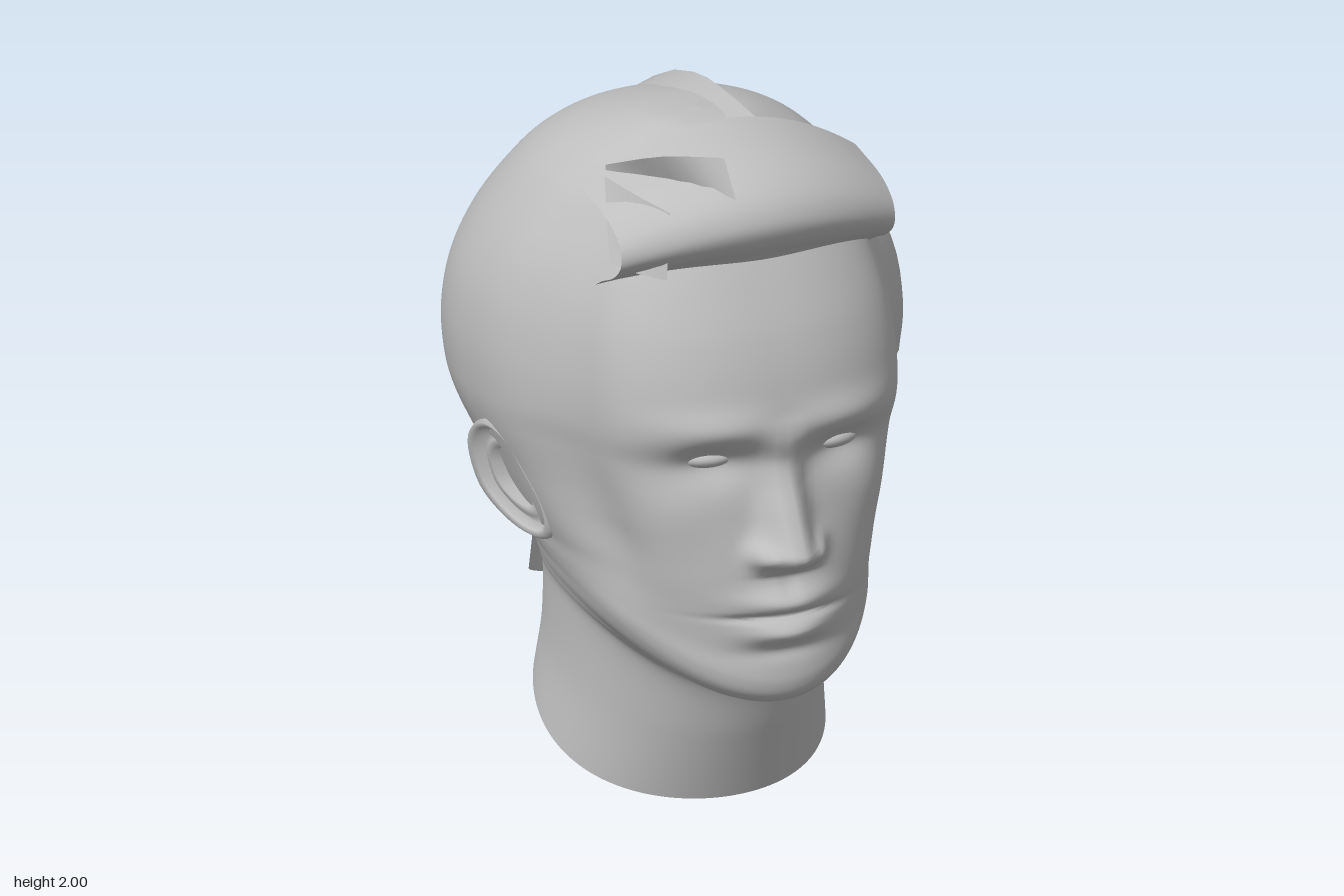
import * as THREE from 'three';

const clay = new THREE.MeshStandardMaterial({ color: 0xbebebe, side: THREE.DoubleSide });
clay.name = 'clay grey';

// Grid surface from a rule; wrap joins the last column to the first
function grid(name, fn, nu, nv, wrap = false) {
  const cols = wrap ? nu : nu + 1, pos = [], idx = [];
  for (let j = 0; j <= nv; j++)
    for (let i = 0; i < cols; i++) pos.push(...fn(i / nu, j / nv));
  for (let j = 0; j < nv; j++)
    for (let i = 0; i < nu; i++) {
      const k = (i + 1) % cols;
      const a = j * cols + i, b = j * cols + k, c = a + cols, d = b + cols;
      idx.push(a, c, b, b, c, d);
    }
  const g = new THREE.BufferGeometry();
  g.setAttribute('position', new THREE.Float32BufferAttribute(pos, 3));
  g.setIndex(idx);
  g.computeVertexNormals();
  const m = new THREE.Mesh(g, clay);
  m.name = name;
  return m;
}

const curve = (pts, closed = false) =>
  new THREE.CatmullRomCurve3(pts.map(p => new THREE.Vector3(...p)), closed, 'catmullrom', 0.5);

// Hair flap ruled between two edge curves
function flap(name, edgeA, edgeB, n = 12) {
  const a = curve(edgeA), b = curve(edgeB);
  return grid(name, (u, v) => a.getPoint(u).lerp(b.getPoint(u), v).toArray(), n, 2);
}

// Linear lookup in a list of [key, value] with rising keys
function look(list, k) {
  if (k <= list[0][0]) return list[0][1];
  for (let i = 1; i < list.length; i++)
    if (k <= list[i][0])
      return THREE.MathUtils.mapLinear(k, list[i - 1][0], list[i][0], list[i - 1][1], list[i][1]);
  return list[list.length - 1][1];
}

const smooth = THREE.MathUtils.smoothstep;
const bump = (x, y, cx, cy, sx, sy) => Math.exp(-(((x - cx) / sx) ** 2) - ((y - cy) / sy) ** 2);
const spow = (v, e) => Math.sign(v) * Math.abs(v) ** e;

// Facial relief: brow, sockets, cheeks, nose, lips, chin
const noseHeight = [[0.79, 0], [0.82, 0.055], [0.845, 0.115], [0.87, 0.135], [0.9, 0.125], [1, 0.088], [1.13, 0.035], [1.26, 0]];
const noseWidth = [[0.8, 0.08], [0.87, 0.07], [0.95, 0.058], [1.05, 0.05], [1.2, 0.06]];
function relief(px, y) {
  const x = Math.abs(px);
  let d = look(noseHeight, y) * Math.exp(-((x / look(noseWidth, y)) ** 2.3));
  d += 0.05 * bump(x, y, 0.085, 0.862, 0.03, 0.034);
  d += 0.026 * bump(x, y, 0.2, 1.23, 0.17, 0.055);
  d -= 0.04 * bump(x, y, 0.19, 1.125, 0.1, 0.06);
  d += 0.018 * bump(x, y, 0.32, 0.98, 0.12, 0.1);
  d += 0.048 * bump(x, y, 0, 0.715, 0.12, 0.038);
  d += 0.042 * bump(x, y, 0, 0.625, 0.11, 0.033);
  d -= 0.03 * bump(x, y, 0, 0.671, 0.15, 0.011);
  d -= 0.012 * bump(x, y, 0, 0.565, 0.12, 0.025);
  d -= 0.008 * bump(x, y, 0, 0.76, 0.015, 0.03);
  return d;
}

// Level skull rings: height, half width, front z, back z, z of widest point
const skullRings = [
  [1.98, 0, 0.08, 0.08, 0.08], [1.965, 0.15, 0.21, -0.11, 0.04], [1.9, 0.3, 0.34, -0.34, -0.04],
  [1.82, 0.405, 0.43, -0.48, -0.07], [1.72, 0.485, 0.49, -0.58, -0.09], [1.6, 0.557, 0.555, -0.67, -0.11],
  [1.47, 0.605, 0.615, -0.725, -0.14], [1.33, 0.624, 0.655, -0.76, -0.15], [1.2, 0.618, 0.665, -0.77, -0.14],
  [1.1, 0.597, 0.635, -0.743, -0.12], [0.97, 0.545, 0.65, -0.675, -0.07]];
// Tilted jaw and neck rings: the same, then side height and back height
const jawRings = [
  [0.84, 0.5, 0.672, -0.585, 0, 0.86, 0.84], [0.75, 0.48, 0.682, -0.54, 0.03, 0.815, 0.76],
  [0.65, 0.465, 0.684, -0.5, 0.045, 0.78, 0.695], [0.55, 0.455, 0.683, -0.475, 0.05, 0.74, 0.65],
  [0.47, 0.445, 0.69, -0.46, 0.05, 0.71, 0.62], [0.42, 0.435, 0.67, -0.45, 0.05, 0.685, 0.605],
  [0.393, 0.425, 0.61, -0.445, 0.04, 0.655, 0.59], [0.386, 0.41, 0.5, -0.44, 0.02, 0.62, 0.57],
  [0.365, 0.395, 0.41, -0.43, 0, 0.56, 0.55], [0.2, 0.395, 0.36, -0.41, -0.03, 0.36, 0.505],
  [0, 0.42, 0.3, -0.395, -0.05, 0.17, 0.44]];
const rings = [...skullRings, ...jawRings];
const frontLine = curve(rings.map(r => r.slice(0, 3)));
const backLine = curve(rings.map(r => [r[3], r[4], 0]));
const tilt = curve(rings.map(r => [r[5] ?? r[0], r[6] ?? r[0], 0]));

function headPoint(u, v) {
  const { x: yFront, y: w, z: front } = frontLine.getPoint(v);
  const { x: back, y: mid } = backLine.getPoint(v);
  const { x: ySide, y: yBack } = tilt.getPoint(v);
  const t = u * Math.PI * 2, s = Math.sin(t), c = Math.cos(t);
  // The face is a little squarer than an ellipse
  const e = c > 0 ? 2 / (2 + 0.35 * smooth(yFront, 0.5, 0.95)) : 1;
  const y = ySide + (yFront - yBack) / 2 * c + ((yFront + yBack) / 2 - ySide) * c * c;
  const depth = spow(c, e);
  let x = w * spow(s, e), z = mid + (c > 0 ? front - mid : mid - back) * depth;
  // Flatter temples and cheeks
  x *= 1 - 0.12 * Math.exp(-(((depth - 0.56) / 0.22) ** 2)) * smooth(y, 0.6, 0.9);
  // Relief fades out behind the face and under the chin
  z += relief(x, y) * smooth(z, 0.2, 0.45) * smooth(yFront, 0.39, 0.47);
  return [x, y, z];
}

// Ear: rings shrinking inward with a raised rim and a sunken bowl
const earOutline = curve([[-0.03, 1.1, 0], [-0.09, 1.075, 0], [-0.122, 1, 0], [-0.105, 0.88, 0], [-0.03, 0.8, 0],
  [0.06, 0.765, 0], [0.12, 0.79, 0], [0.125, 0.88, 0], [0.08, 0.98, 0], [0.035, 1.06, 0]], true);
const earRings = [[0.82, -0.1], [0.98, -0.03], [1, 0.005], [0.94, 0.02], [0.86, 0.012], [0.77, -0.014],
  [0.64, -0.002], [0.5, 0.002], [0.38, -0.035], [0, -0.042]];
function ear(side) {
  return grid(side > 0 ? 'leftEar' : 'rightEar', (u, v) => {
    const [k, out] = earRings[Math.round(v * 9)], p = earOutline.getPoint(u);
    const z = 0.01 + (p.x - 0.01) * k, y = 0.94 + (p.y - 0.94) * k;
    return [side * (0.532 + 0.2 * (y - 0.93) + 0.4 * (0.02 - z) + out), y, z];
  }, 40, 9, true);
}

// Eye: almond eyeball with a thin lid rim
function eye(side) {
  const g = new THREE.Group();
  g.name = side > 0 ? 'leftEye' : 'rightEye';
  const ball = new THREE.Mesh(new THREE.SphereGeometry(1, 32, 20), clay);
  ball.name = 'eyeball';
  ball.scale.set(0.08, 0.03, 0.05);
  const lid = new THREE.Mesh(new THREE.TorusGeometry(1, 0.07, 10, 40), clay);
  lid.name = 'eyelid';
  lid.scale.set(0.08, 0.032, 0.08);
  lid.position.z = 0.014;
  g.add(ball, lid);
  g.position.set(side * 0.198, 1.13, 0.55);
  g.rotation.y = side * 0.3;
  return g;
}

// Swept front hair rolling out over the forehead, its lower edge sunk in the skin
const roll = curve([[0, 1.62, 0.47], [0, 1.69, 0.53], [0, 1.745, 0.583], [0, 1.81, 0.6], [0, 1.885, 0.555], [0, 1.95, 0.44], [0, 1.998, 0.24]]);
function frontHair() {
  return grid('frontHair', (u, v) => {
    const x = (u - 0.5) * 0.84, p = roll.getPoint(v);
    return [x, p.y - (0.35 + 0.5 * v) * x * x, p.z - (1.25 - 1.1 * v) * x * x];
  }, 32, 36);
}

// Hair fringe around the nape
function napeHair() {
  return grid('napeHair', (u, v) => {
    const a = (u - 0.5) * 2.3, k = 1 - Math.cos(a);
    const upper = [0.42 * Math.sin(a), 0.63 + 0.11 * k, -0.465 * Math.cos(a)];
    const lower = [0.425 * Math.sin(a), 0.445 + 0.2 * k, -0.43 * Math.cos(a) - 0.06 * k];
    return upper.map((q, i) => q + (lower[i] - q) * v);
  }, 20, 3);
}

export function createModel() {
  const model = new THREE.Group();
  model.name = 'head';
  model.add(grid('headAndNeck', headPoint, 180, 250, true));
  for (const side of [1, -1]) model.add(ear(side), eye(side));
  model.add(frontHair(), napeHair());

  // Lifted strand along the crown
  const crown = [[0.24, 1.985], [0, 1.99], [-0.2, 1.97], [-0.47, 1.865], [-0.69, 1.645], [-0.79, 1.44]];
  model.add(flap('crownStrand',
    crown.map(([z, y]) => [0, y - 0.025, z * 0.94]),
    crown.map(([z, y], i) => [0.105 + 0.004 * i, y, z]), 10));

  // Sideburn strand and loose forelock strands
  model.add(flap('sideStrand',
    [[0.45, 1.66, 0.17], [0.52, 1.5, 0.18], [0.545, 1.3, 0.18], [0.525, 1.12, 0.17]],
    [[0.49, 1.71, 0.04], [0.59, 1.5, 0.085], [0.628, 1.3, 0.08], [0.622, 1.15, 0.065]]));
  model.add(flap('lowForelock',
    [[-0.42, 1.69, 0.4], [-0.36, 1.67, 0.47], [-0.3, 1.66, 0.52]],
    [[-0.39, 1.91, 0.3], [-0.34, 1.88, 0.4], [-0.28, 1.85, 0.5]], 4));
  model.add(flap('highForelock',
    [[-0.35, 1.87, 0.22], [-0.22, 1.88, 0.4], [-0.1, 1.86, 0.56]],
    [[-0.35, 1.91, 0.22], [-0.27, 1.99, 0.42], [-0.11, 1.985, 0.49]], 6));
  return model;
}
